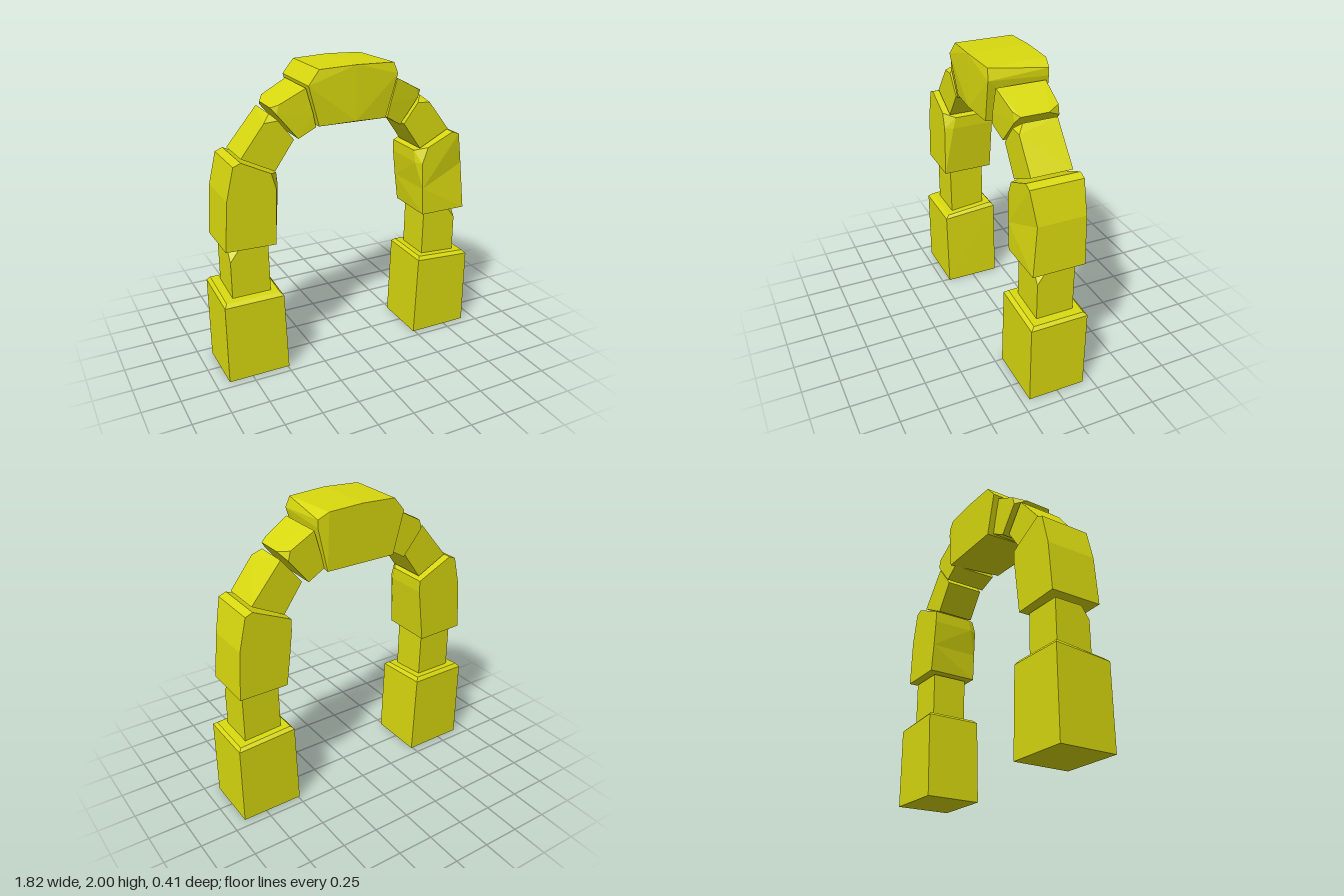
import * as THREE from 'three';
import { ConvexGeometry } from 'three/addons/geometries/ConvexGeometry.js';

export function createModel() {
  const arch = new THREE.Group();
  arch.name = 'stoneArch';
  const yellow = new THREE.MeshStandardMaterial({ color: 0xd8d80f });
  yellow.name = 'yellowStone';

  // Hewn block: each row is [x, y, depths...], giving one corner per depth.
  // side = -1 mirrors the block to the right leg.
  function stone(name, rows, side = 1) {
    const pts = rows.flatMap(([x, y, ...zs]) => zs.map(z => new THREE.Vector3(x * side, y, z)));
    const mesh = new THREE.Mesh(new ConvexGeometry(pts), yellow);
    mesh.name = name;
    arch.add(mesh);
  }

  // Base blocks with worn upper rims
  stone('leftBase', [
    [0.49, 0, 0.195, -0.19], [0.91, 0, 0.195, -0.19],
    [0.51, 0.57, 0.195, -0.19], [0.91, 0.545, 0.195, -0.19],
    [0.53, 0.59, 0.17, -0.17], [0.89, 0.565, 0.17, -0.17],
  ]);
  stone('rightBase', [
    [0.49, 0, 0.195, -0.19], [0.91, 0, 0.195, -0.19],
    [0.51, 0.545, 0.195], [0.91, 0.545, 0.195],
    [0.51, 0.575, -0.19], [0.91, 0.575, -0.19],
    [0.53, 0.565, 0.17], [0.89, 0.565, 0.17],
    [0.53, 0.6, -0.17], [0.89, 0.6, -0.17],
  ], -1);

  // Haunch of the left leg, its front hollowed along a slanting crease
  const crease = [[0.53, 1.1, 0.175], [0.515, 1.1, -0.175], [0.85, 1.235, 0.145, -0.175]];
  stone('leftHaunchLower', [
    [0.54, 0.91, 0.175, -0.175], [0.87, 0.91, 0.175, -0.175], ...crease,
  ]);
  stone('leftHaunchUpper', [
    ...crease,
    [0.52, 1.28, 0.175], [0.56, 1.39, 0.175], [0.495, 1.28, 0.12, -0.175],
    [0.495, 1.36, 0.1, -0.175], [0.75, 1.475, 0.175, -0.175], [0.8, 1.455, 0.175, -0.175],
  ]);
  stone('rightHaunch', [
    [0.545, 0.91, 0.175, -0.175], [0.875, 0.92, 0.175, -0.175],
    [0.85, 1.25, 0.175, -0.175], [0.8, 1.46, 0.175, -0.175], [0.75, 1.48, 0.175, -0.175],
    [0.53, 1.28, 0.175], [0.56, 1.385, 0.175], [0.5, 1.28, 0.12, -0.175],
    [0.5, 1.36, 0.1, -0.175],
  ], -1);

  for (const side of [1, -1]) {
    const label = side > 0 ? 'left' : 'right';
    // Narrow post with a chipped outer front corner
    stone(label + 'Post', [
      [0.575, 0.55, 0.125, -0.125], [0.835, 0.55, 0.125, -0.125],
      [0.58, 0.9, 0.125, -0.125], [0.835, 0.9, 0.07, -0.125],
      [0.775, 0.9, 0.125], [0.835, 0.82, 0.125],
    ], side);
    // Lower arch stone with a chipped top front corner
    stone(label + 'LowerArchStone', [
      [0.52, 1.38, 0.135, -0.135], [0.735, 1.49, 0.135, -0.135],
      [0.39, 1.565, 0.135, -0.135], [0.53, 1.735, 0.09, -0.135],
      [0.49, 1.695, 0.135], [0.58, 1.69, 0.135],
    ], side);
    // Upper arch stone, tapering in depth towards its outer end
    stone(label + 'UpperArchStone', [
      [0.36, 1.565, 0.135, -0.165], [0.25, 1.63, 0.155, -0.165],
      [0.27, 1.72, 0.16, -0.165], [0.315, 1.88, 0.16, -0.165],
      [0.525, 1.77, 0.1, -0.08], [0.48, 1.79, 0.13, -0.165],
      [0.495, 1.73, 0.125, -0.165],
    ], side);
  }

  // Keystone with a gently bowed front and bevelled shoulders
  stone('keystone', [
    [-0.24, 1.64, 0.18], [0, 1.65, 0.205], [0.22, 1.64, 0.185],
    [-0.24, 1.62, -0.205], [0.25, 1.62, -0.205],
    [-0.315, 1.9, 0.2, -0.205], [-0.24, 1.99, 0.19, -0.205],
    [0, 2, 0.205, -0.205], [0.27, 1.99, 0.19], [0.235, 1.99, -0.205],
    [0.295, 1.92, 0.2], [0.305, 1.95, -0.19], [0.305, 1.9, -0.19],
  ]);
  return arch;
}
